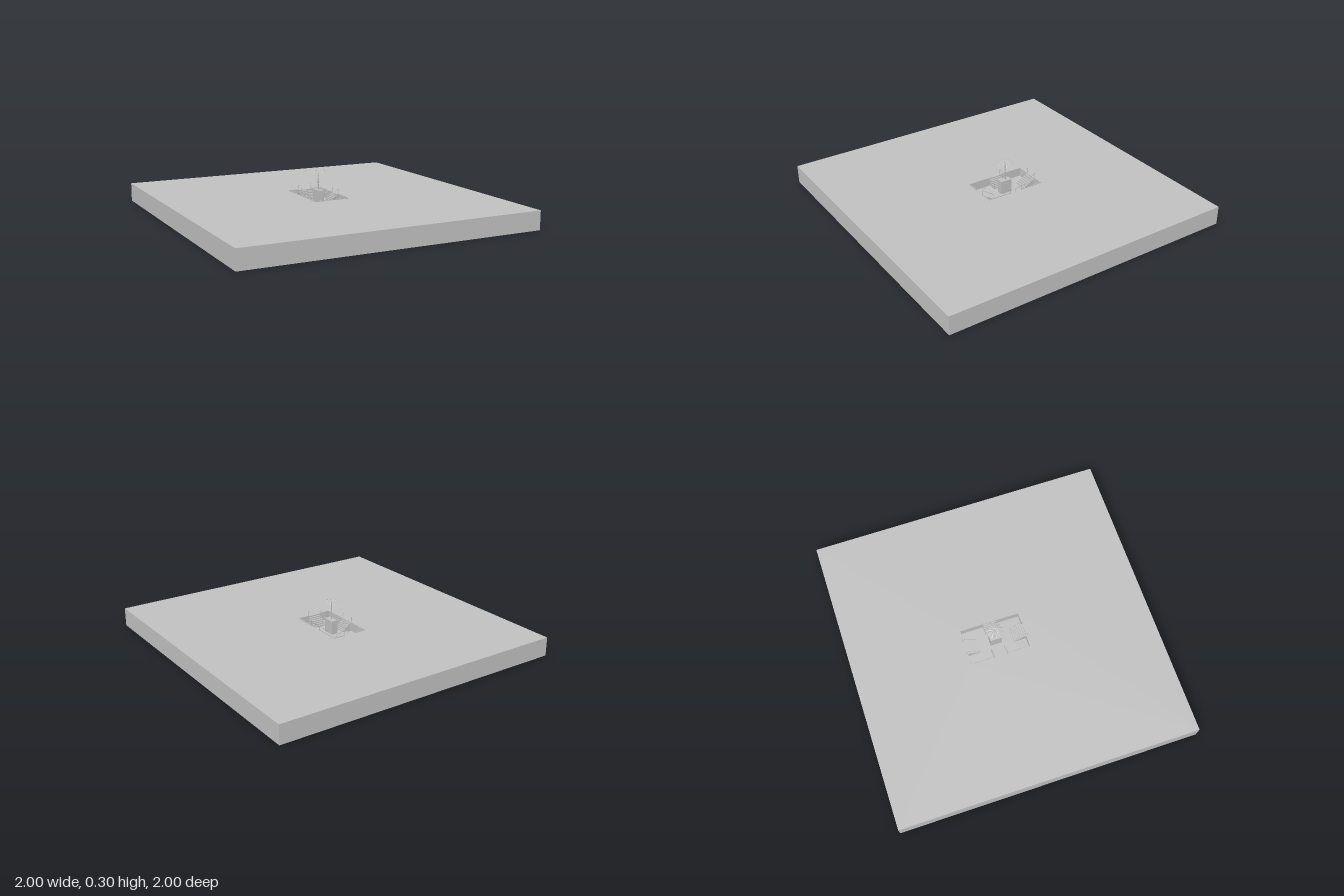
import * as THREE from 'three';

export function createModel() {
  const model = new THREE.Group();
  const stone = new THREE.MeshStandardMaterial({ color: 0xc0c0c0 });
  stone.name = 'lightGrey';
  const leaf = new THREE.MeshStandardMaterial({ color: 0xc0c0c0, side: THREE.DoubleSide });
  leaf.name = 'lightGreyLeaf';

  const TOP = 0.125, FLOOR = 0.07, CZ = -0.043;   // ground level, pit floor, pit centre
  const HX = 0.12, HZ = 0.203, STAIR_W = 0.088;   // pit half sizes, stair width

  const add = (parent, name, geometry, material = stone) => {
    const mesh = new THREE.Mesh(geometry, material);
    mesh.name = name;
    parent.add(mesh);
    return mesh;
  };
  const box = (parent, name, w, h, d, x, y, z) =>
    add(parent, name, new THREE.BoxGeometry(w, h, d).translate(x, y, z));
  const bar = (parent, name, a, b, r = 0.0013) => {
    const dir = b.clone().sub(a);
    const mesh = add(parent, name, new THREE.CylinderGeometry(r, r, dir.length(), 6));
    mesh.position.copy(a).add(b).multiplyScalar(0.5);
    mesh.quaternion.setFromUnitVectors(new THREE.Vector3(0, 1, 0), dir.normalize());
    return mesh;
  };

  // Ground slab: solid base below a layer with the sunken court cut out
  box(model, 'slabBase', 2, FLOOR, 2, 0, FLOOR / 2, 0);
  const outline = (x0, x1, y0, y1, shape) => {
    shape.moveTo(x0, y0);
    shape.lineTo(x1, y0);
    shape.lineTo(x1, y1);
    shape.lineTo(x0, y1);
    shape.closePath();
    return shape;
  };
  const ground = outline(-1, 1, -1, 1, new THREE.Shape());
  ground.holes.push(outline(-HX, HX, -CZ - HZ, -CZ + HZ, new THREE.Path()));
  add(model, 'slabTop', new THREE.ExtrudeGeometry(ground, { depth: TOP - FLOOR, bevelEnabled: false })
    .rotateX(-Math.PI / 2).translate(0, FLOOR, 0));

  // Low curb around the court, open at each stair
  const curb = 0.003, curbH = 0.006, curbY = TOP + curbH / 2 - 0.001;
  for (const s of [-1, 1]) {
    for (const t of [-1, 1]) {
      const lx = HX - STAIR_W / 2, lz = HZ - STAIR_W / 2;
      box(model, 'curb', lx, curbH, curb, t * (HX - lx / 2), curbY, CZ + s * HZ);
      box(model, 'curb', curb, curbH, lz, s * HX, curbY, CZ + t * (HZ - lz / 2));
    }
  }

  // Stair descending from local z = 0 towards -z, with a handrail on each side
  const stair = (name, run) => {
    const group = new THREE.Group();
    group.name = name;
    const steps = 6, depth = TOP - FLOOR;
    for (let i = 0; i < steps; i++) {
      const h = depth * (1 - (i + 1) / (steps + 1));
      box(group, 'step', STAIR_W, h, run / steps, 0, FLOOR + h / 2, -(i + 0.5) * run / steps);
    }
    for (const s of [-1, 1]) {
      const x = s * STAIR_W / 2;
      const v = (y, z) => new THREE.Vector3(x, y, z);
      const railEnd = 0.107;
      bar(group, 'railPost', v(TOP, 0.007), v(0.163, 0.007));
      bar(group, 'railPost', v(FLOOR, -run), v(railEnd, -run));
      bar(group, 'handrail', v(0.163, 0.007), v(railEnd, -run));
    }
    model.add(group);
    return group;
  };
  [['frontStair', 0, HZ, 0, 0.08], ['leftStair', HX, 0, 1, 0.058],
    ['backStair', 0, -HZ, 2, 0.08], ['rightStair', -HX, 0, 3, 0.058]].forEach(([name, x, z, turn, run]) => {
    const group = stair(name, run);
    group.position.set(x, 0, CZ + z);
    group.rotation.y = turn * Math.PI / 2;
  });

  // Tall planter in the middle of the court
  box(model, 'planter', 0.042, 0.161 - FLOOR, 0.08, 0, (0.161 + FLOOR) / 2, -0.04);

  // Palm tree
  const palm = new THREE.Group();
  palm.name = 'palmTree';
  palm.position.set(0, 0, CZ);
  model.add(palm);
  const trunkBase = 0.16, trunkTop = 0.293, rings = 7;
  for (let i = 0; i < rings; i++) {
    const h = (trunkTop - trunkBase) / rings;
    add(palm, 'trunkRing', new THREE.CylinderGeometry(0.0048 - i * 0.0002, 0.0038 - i * 0.0002, h, 8)
      .translate(0, trunkBase + (i + 0.5) * h, 0));
  }

  // Drooping frond: a tapered spine strip with pairs of pointed leaflets
  const frondGeometry = (length) => {
    const pos = [], n = 6;
    const spine = (t) => [t * length, 0.293 + 0.022 * t - 0.035 * t * t];
    for (let i = 0; i < n; i++) {
      const t0 = i / n, t1 = (i + 1) / n;
      const [x0, y0] = spine(t0), [x1, y1] = spine(t1);
      const w = 0.0015, reach = 0.009 * Math.sin(Math.PI * (0.2 + 0.7 * t0));
      pos.push(x0, y0, -w, x0, y0, w, x1, y1, w, x0, y0, -w, x1, y1, w, x1, y1, -w);
      for (const s of [-1, 1]) {
        pos.push(x0, y0, 0, x1, y1, 0, x1 + 0.003, y1 - 0.004, s * reach);
      }
    }
    const g = new THREE.BufferGeometry();
    g.setAttribute('position', new THREE.Float32BufferAttribute(pos, 3));
    g.computeVertexNormals();
    return g;
  };
  const fronds = 11;
  for (let i = 0; i < fronds; i++) {
    const frond = add(palm, 'frond', frondGeometry(i % 2 ? 0.052 : 0.058), leaf);
    frond.rotation.y = i / fronds * Math.PI * 2 + 0.2;
  }
  return model;
}
